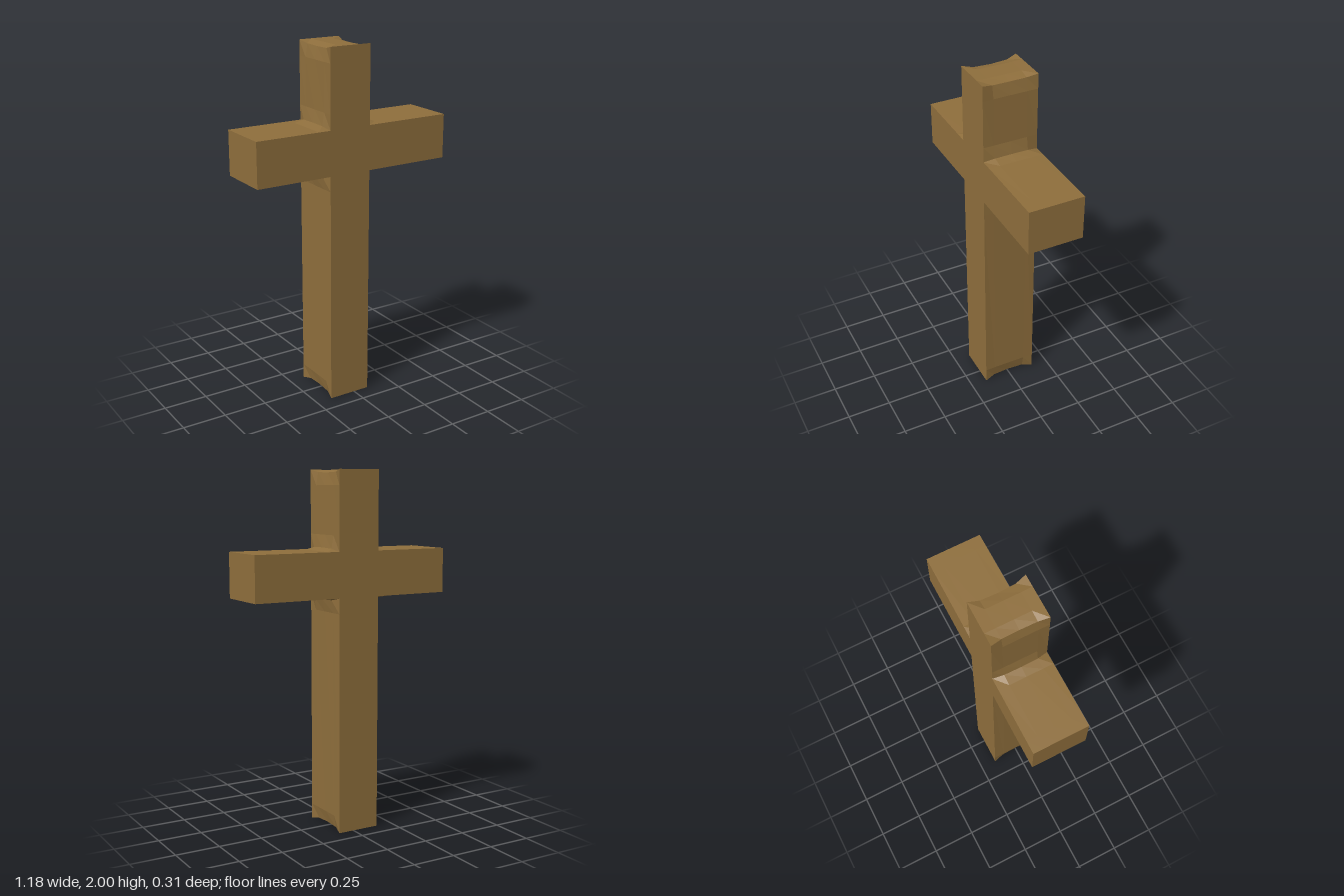
import * as THREE from 'three';

export function createModel() {
  const group = new THREE.Group();
  const wood = new THREE.MeshStandardMaterial({ color: 0x8e6e3c });
  wood.name = 'wood brown';

  // Cross outline, counter-clockwise seen from the front
  const left = -0.155, right = 0.092, low = 1.315, high = 1.565, arm = 0.592;
  const corners = [
    [left, 0], [right, 0], [right, low], [arm, low], [arm, high], [right, high],
    [right, 2], [left, 2], [left, high], [-arm, high], [-arm, low], [left, low],
  ].map(([x, y]) => new THREE.Vector2(x, y));

  // Each worn corner shifts toward both neighbours: post ends are rounded off, inner corners filled
  function outline(wear) {
    const points = [];
    corners.forEach((p, i) => {
      const back = corners[(i + 11) % 12].clone().sub(p).normalize();
      const ahead = corners[(i + 1) % 12].clone().sub(p).normalize();
      const shift = Math.abs(p.x) === arm ? 0 : wear;
      const side = (dir, other) => p.clone()
        .addScaledVector(dir, Math.abs(dir.y) > 0.5 ? 0.085 : 0.07)
        .addScaledVector(other, shift * 0.1);
      points.push(side(back, ahead));
      points.push(p.clone().addScaledVector(back, shift).addScaledVector(ahead, shift));
      points.push(side(ahead, back));
    });
    return points;
  }

  // Side walls lofted through sections from back to front
  const sections = [[-0.155, 0], [-0.095, 0.014], [0, 0.017], [0.095, 0.014], [0.155, 0]];
  const positions = [], index = [], count = corners.length * 3;
  for (const [z, wear] of sections) {
    for (const p of outline(wear)) positions.push(p.x, p.y, z);
  }
  for (let s = 0; s < sections.length - 1; s++) {
    for (let i = 0; i < count; i++) {
      const a = s * count + i, b = s * count + (i + 1) % count;
      index.push(a, b, b + count, a, b + count, a + count);
    }
  }
  const loft = new THREE.BufferGeometry();
  loft.setAttribute('position', new THREE.Float32BufferAttribute(positions, 3));
  loft.setIndex(index);
  const walls = loft.toNonIndexed();
  walls.computeVertexNormals();
  const sides = new THREE.Mesh(walls, wood);
  sides.name = 'crossSides';
  group.add(sides);

  // Flat front and back faces with crisp corners
  const front = new THREE.Mesh(new THREE.ShapeGeometry(new THREE.Shape(corners)), wood);
  front.position.z = 0.155;
  front.name = 'crossFront';
  const mirrored = corners.map((p) => new THREE.Vector2(-p.x, p.y)).reverse();
  const back = new THREE.Mesh(new THREE.ShapeGeometry(new THREE.Shape(mirrored)), wood);
  back.rotation.y = Math.PI;
  back.position.z = -0.155;
  back.name = 'crossBack';
  group.add(front, back);

  group.name = 'woodenCross';
  return group;
}
